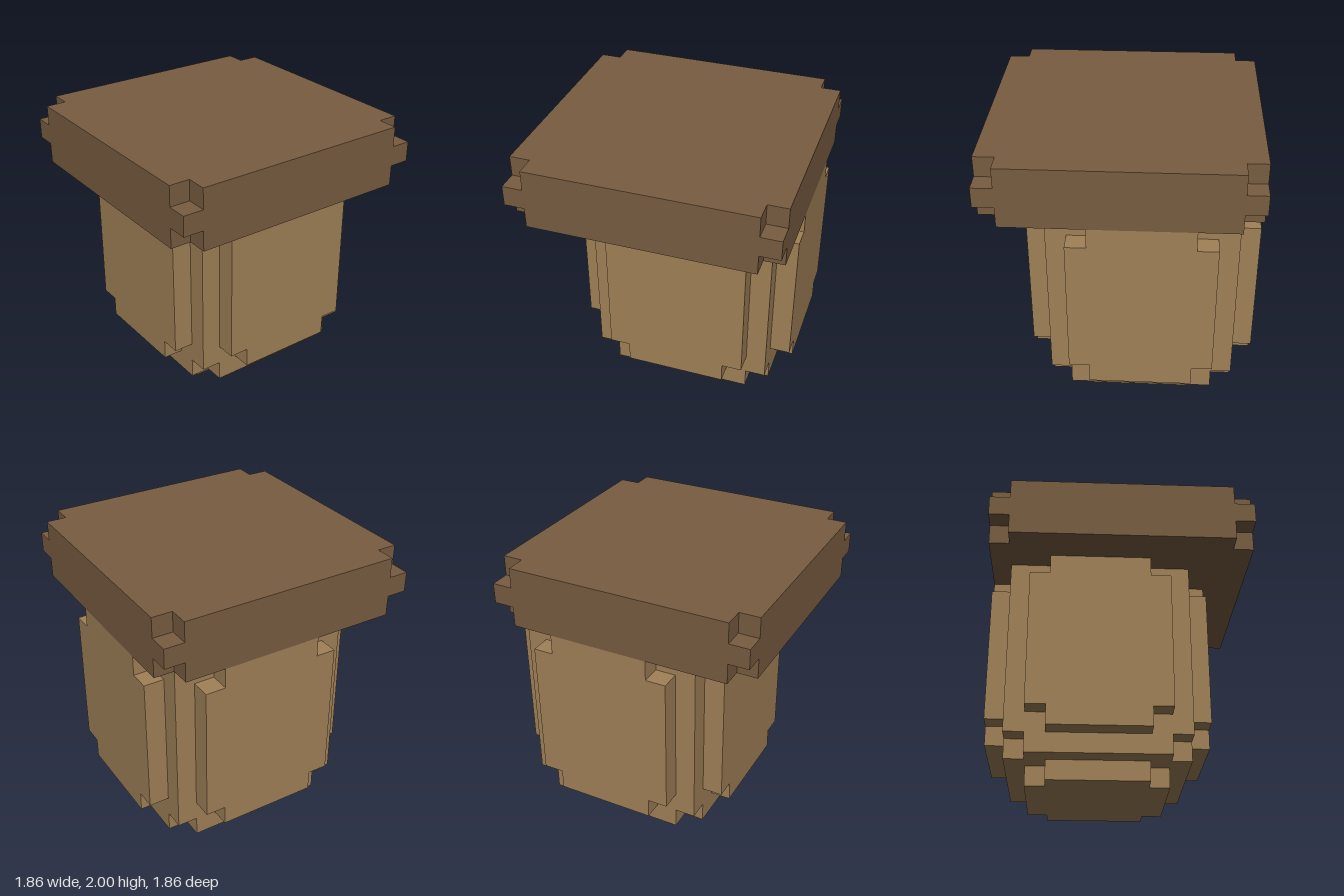
import * as THREE from 'three';

const U = 1 / 7; // one block

const lidMat = new THREE.MeshStandardMaterial({ color: 0x785c40 });
lidMat.name = 'dark wood';
const bodyMat = new THREE.MeshStandardMaterial({ color: 0xa08057 });
bodyMat.name = 'light wood';

// One-block-thick slab, w by h blocks, with one block missing at each corner; faces z, centred.
function notchedSlab(w, h) {
  const a = w / 2, b = h / 2;
  const pts = [
    [1 - a, -b], [a - 1, -b], [a - 1, 1 - b], [a, 1 - b], [a, b - 1], [a - 1, b - 1],
    [a - 1, b], [1 - a, b], [1 - a, b - 1], [-a, b - 1], [-a, 1 - b], [1 - a, 1 - b],
  ].map(([x, y]) => new THREE.Vector2(x * U, y * U));
  return new THREE.ExtrudeGeometry(new THREE.Shape(pts), { depth: U, bevelEnabled: false })
    .translate(0, 0, -U / 2);
}

function add(parent, name, geometry, material, x, y, z) {
  const mesh = new THREE.Mesh(geometry, material);
  mesh.name = name;
  mesh.position.set(x * U, y * U, z * U);
  parent.add(mesh);
  return mesh;
}

export function createModel() {
  const model = new THREE.Group();
  model.name = 'liddedPot';

  // Lid: full middle layer between two layers with notched corners
  const lid = new THREE.Group();
  lid.name = 'lid';
  const lidLayer = notchedSlab(13, 13).rotateX(-Math.PI / 2);
  add(lid, 'lidBottom', lidLayer, lidMat, 0, 11.5, 0);
  add(lid, 'lidMiddle', new THREE.BoxGeometry(13 * U, U, 13 * U), lidMat, 0, 12.5, 0);
  add(lid, 'lidTop', lidLayer, lidMat, 0, 13.5, 0);
  model.add(lid);

  // Body sits one block off centre, towards the back and right
  const body = new THREE.Group();
  body.name = 'body';
  body.position.set(-U, 0, -U);
  add(body, 'core', new THREE.BoxGeometry(9 * U, 9 * U, 9 * U), bodyMat, 0, 6.5, 0);

  // Raised panel on each of the four sides
  const panel = notchedSlab(7, 9);
  ['front', 'left', 'back', 'right'].forEach((side, i) => {
    const angle = i * Math.PI / 2;
    add(body, side + 'Panel', panel, bodyMat, 5 * Math.sin(angle), 6.5, 5 * Math.cos(angle))
      .rotation.y = angle;
  });

  // Stepped base
  add(body, 'upperBase', notchedSlab(9, 9).rotateX(-Math.PI / 2), bodyMat, 0, 1.5, 0);
  add(body, 'lowerBase', notchedSlab(7, 7).rotateX(-Math.PI / 2), bodyMat, 0, 0.5, 0);
  model.add(body);

  return model;
}
